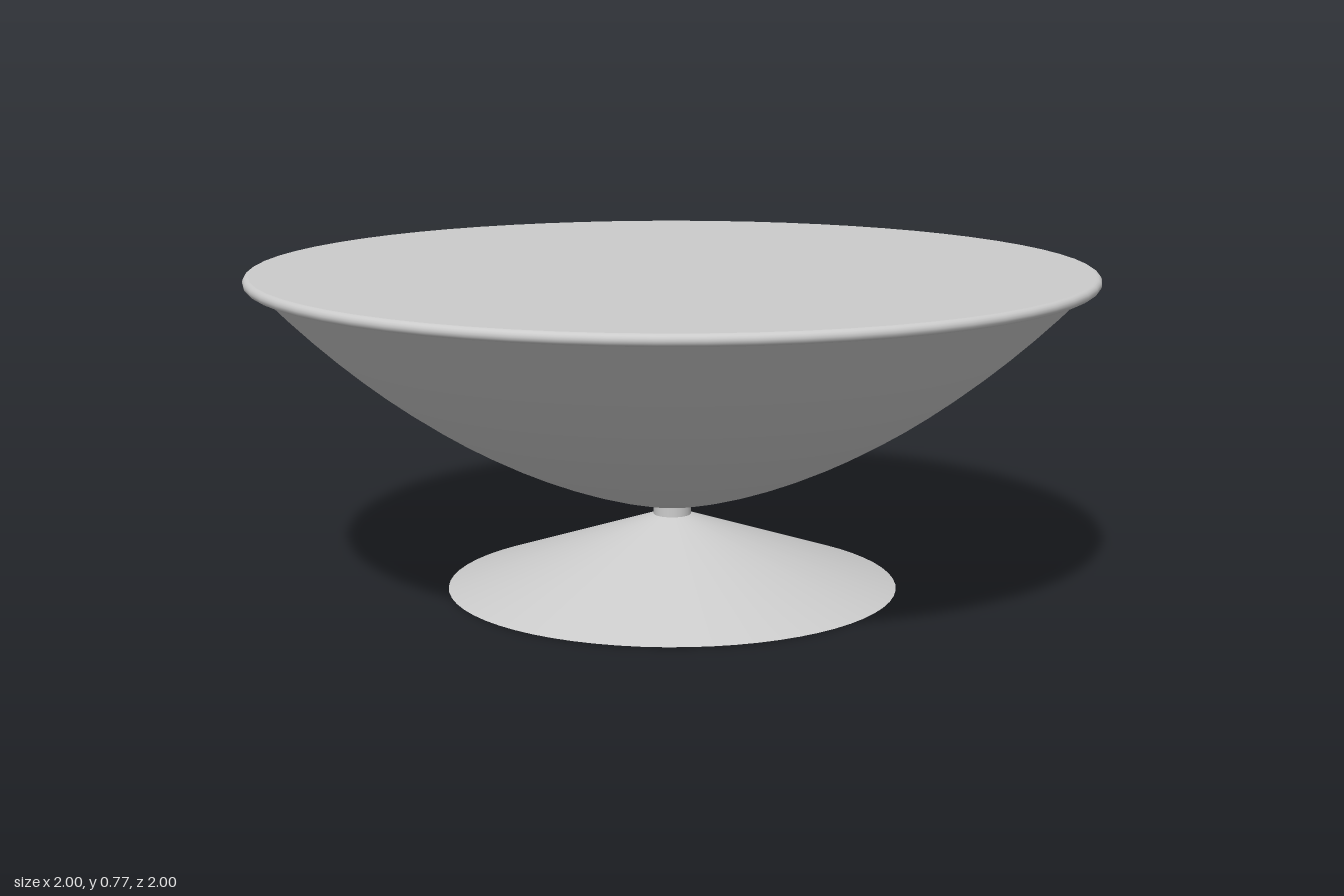
import * as THREE from 'three';

const SEGMENTS = 64;
const v = (x, y) => new THREE.Vector2(x, y);

export function createModel() {
  const group = new THREE.Group();
  const add = (name, geometry, options = {}) => {
    const material = new THREE.MeshStandardMaterial({ color: 0xcccccc, ...options });
    const mesh = new THREE.Mesh(geometry, material);
    mesh.name = name;
    group.add(mesh);
    return mesh;
  };

  // Hollow conical foot, open underneath
  const foot = new THREE.CylinderGeometry(0.04, 0.54, 0.175, SEGMENTS, 1, true);
  add('foot', foot, { side: THREE.DoubleSide }).position.y = 0.0875;

  // Short pin that passes through the foot into the bowl
  add('stem', new THREE.CylinderGeometry(0.045, 0.045, 0.12, 32)).position.y = 0.15;

  // Bowl shell, faceted in narrow bands
  const curve = new THREE.QuadraticBezierCurve(v(0.045, 0.197), v(0.543, 0.297), v(0.97, 0.745));
  const shell = new THREE.LatheGeometry([v(0, 0.193), ...curve.getPoints(16)], SEGMENTS);
  add('bowl', shell, { flatShading: true, side: THREE.DoubleSide });

  // Rounded rim: half circle swept round the edge, with a flat underside
  const rimRadius = 0.0135;
  const rimProfile = [v(0.96, 0.743)];
  for (let i = 0; i <= 8; i++) {
    const a = -Math.PI / 2 + (Math.PI * i) / 8;
    rimProfile.push(v(1 - rimRadius + rimRadius * Math.cos(a), 0.7565 + rimRadius * Math.sin(a)));
  }
  add('rim', new THREE.LatheGeometry(rimProfile, SEGMENTS));

  // Flat lid level with the top of the rim
  const lid = new THREE.CircleGeometry(1 - rimRadius, SEGMENTS).rotateX(-Math.PI / 2);
  add('lid', lid, { side: THREE.DoubleSide }).position.y = 0.77;

  return group;
}
